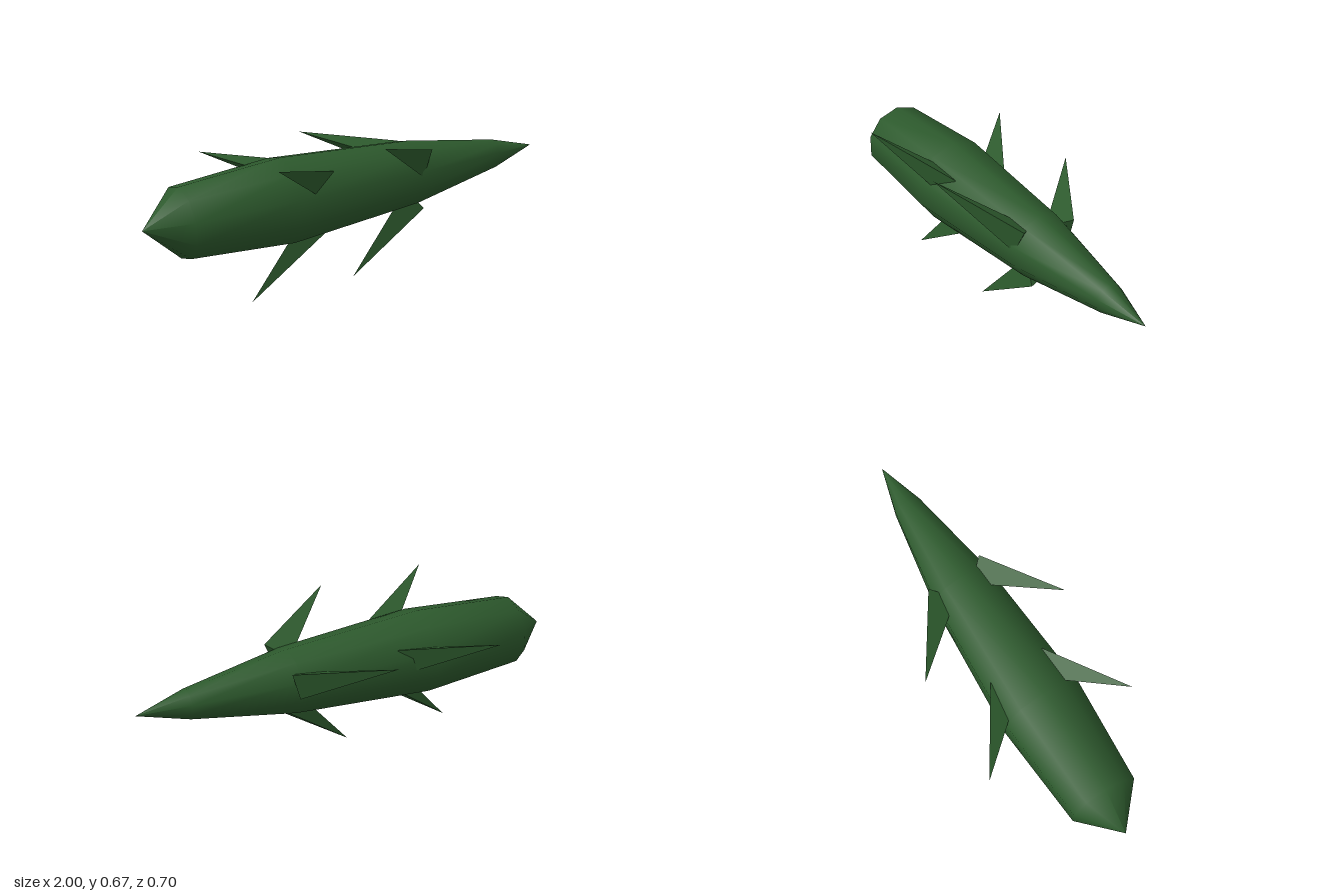
import * as THREE from 'three';

const CENTRE_Y = 0.407, CENTRE_Z = 0.036;

export function createModel() {
  const group = new THREE.Group();
  const green = new THREE.MeshStandardMaterial({ color: 0x2d5a2d });
  green.name = 'dark green';
  const greenFlat = green.clone();
  greenFlat.flatShading = true;

  // Ten-sided tapering stem lying along x, a corner at the top
  const profile = [[0, -1], [0.158, -0.83], [0.1935, -0.35], [0.148, 0.3], [0.067, 0.77], [0, 1]]
    .map(([r, x]) => new THREE.Vector2(r, x));
  const stem = new THREE.Mesh(new THREE.LatheGeometry(profile, 10, Math.PI / 2), green);
  stem.name = 'stem';
  stem.rotation.z = -Math.PI / 2;
  stem.position.set(0, CENTRE_Y, CENTRE_Z);
  group.add(stem);

  // Swept-back three-sided thorns: two rings of three, each with its own roll
  const length = 0.442;
  const thornGeometry = new THREE.ConeGeometry(0.074, length, 3);
  const thorns = [
    { angle: 40, roll: 70 },
    { angle: 160, roll: 125 },
    { angle: -80, roll: 54 },
  ];
  const rad = THREE.MathUtils.degToRad;
  for (const shift of [0, -0.51]) {
    for (const { angle, roll } of thorns) {
      const a = rad(angle), r = rad(roll);
      const out = new THREE.Vector3(0, Math.sin(a), Math.cos(a));
      const side = new THREE.Vector3(0, Math.cos(a), -Math.sin(a));
      const at = (x, radius) => out.clone().multiplyScalar(radius)
        .add(new THREE.Vector3(x + shift, CENTRE_Y, CENTRE_Z));
      const tip = at(-0.03, 0.41), base = at(0.306, 0.123);
      const axis = tip.clone().sub(base).normalize();
      // Direction from the base centre to the first base corner
      const lean = out.clone().addScaledVector(axis, -out.dot(axis)).normalize();
      const corner = side.multiplyScalar(Math.cos(r)).addScaledVector(lean, Math.sin(r));
      const across = axis.clone().cross(corner);

      const thorn = new THREE.Mesh(thornGeometry, greenFlat);
      thorn.name = 'thorn';
      thorn.quaternion.setFromRotationMatrix(new THREE.Matrix4().makeBasis(across, axis, corner));
      thorn.position.copy(base).lerp(tip, 0.5);
      group.add(thorn);
    }
  }
  return group;
}
